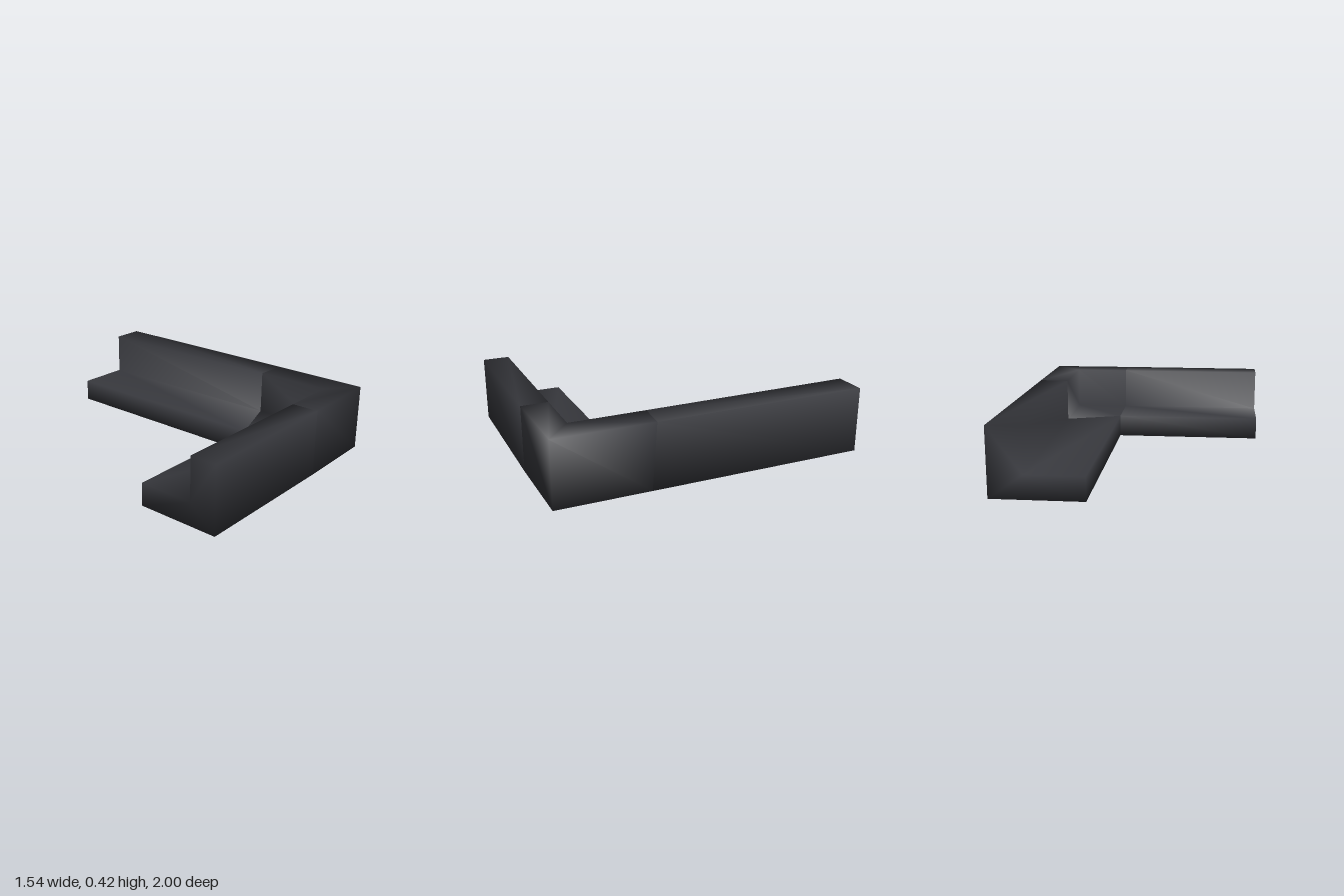
import * as THREE from 'three';
import { mergeVertices } from 'three/addons/utils/BufferGeometryUtils.js';

const BASE = 0.005, SEAT = 0.15, TOP = 0.425;
// Heights of the six corners of the bench profile, from the front foot over the back
const HEIGHTS = [BASE, SEAT, SEAT, TOP, TOP, BASE];

// Lofts bench profiles (six [x, z] points each) into a closed, smooth-shaded body
function loft(stations) {
  const positions = [];
  const index = [];
  stations.forEach((points) => points.forEach(([x, z], i) => positions.push(x, HEIGHTS[i], z)));
  for (let s = 0; s < stations.length - 1; s++) {
    for (let i = 0; i < 6; i++) {
      const j = (i + 1) % 6;
      const a = s * 6 + i, b = s * 6 + j, c = b + 6, d = a + 6;
      index.push(a, b, c, a, c, d);
    }
  }
  // End caps
  const last = (stations.length - 1) * 6;
  for (const [a, b, c] of [[0, 1, 2], [0, 2, 5], [2, 3, 4], [2, 4, 5]]) {
    index.push(a, c, b, last + a, last + b, last + c);
  }
  const geometry = new THREE.BufferGeometry();
  geometry.setAttribute('position', new THREE.Float32BufferAttribute(positions, 3));
  geometry.setIndex(index);
  const merged = mergeVertices(geometry, 1e-4);
  merged.computeVertexNormals();
  return merged;
}

export function createModel() {
  const upholstery = new THREE.MeshStandardMaterial({ color: 0x38393e });
  upholstery.name = 'charcoal upholstery';

  // Straight profile across the short arm at a given x
  const across = (x) => [0.48, 0.48, 0.83, 0.83, 1, 1].map((z) => [x, z]);
  const shortEnd = across(-0.77);
  const shortSeam = across(0.21);
  // Diagonal profile through the corner
  const mitre = [[0.21, 0.48], [0.21, 0.48], [0.57, 0.83], [0.57, 0.83], [0.757, 0.99], [0.757, 0.99]];
  // Slanted joint between the corner and the long arm
  const longSeam = [[0.21, 0.48], [0.21, 0.48], [0.57, 0.355], [0.57, 0.355], [0.762, 0.37], [0.762, 0.4]];
  const longEnd = [0.215, 0.215, 0.565, 0.565, 0.77, 0.77].map((x) => [x, -1]);

  const model = new THREE.Group();
  model.name = 'cornerSofa';
  const parts = {
    shortBench: [shortEnd, shortSeam],
    cornerSeat: [shortSeam, mitre, longSeam],
    longBench: [longSeam, longEnd],
  };
  for (const [name, stations] of Object.entries(parts)) {
    const mesh = new THREE.Mesh(loft(stations), upholstery);
    mesh.name = name;
    model.add(mesh);
  }
  return model;
}
